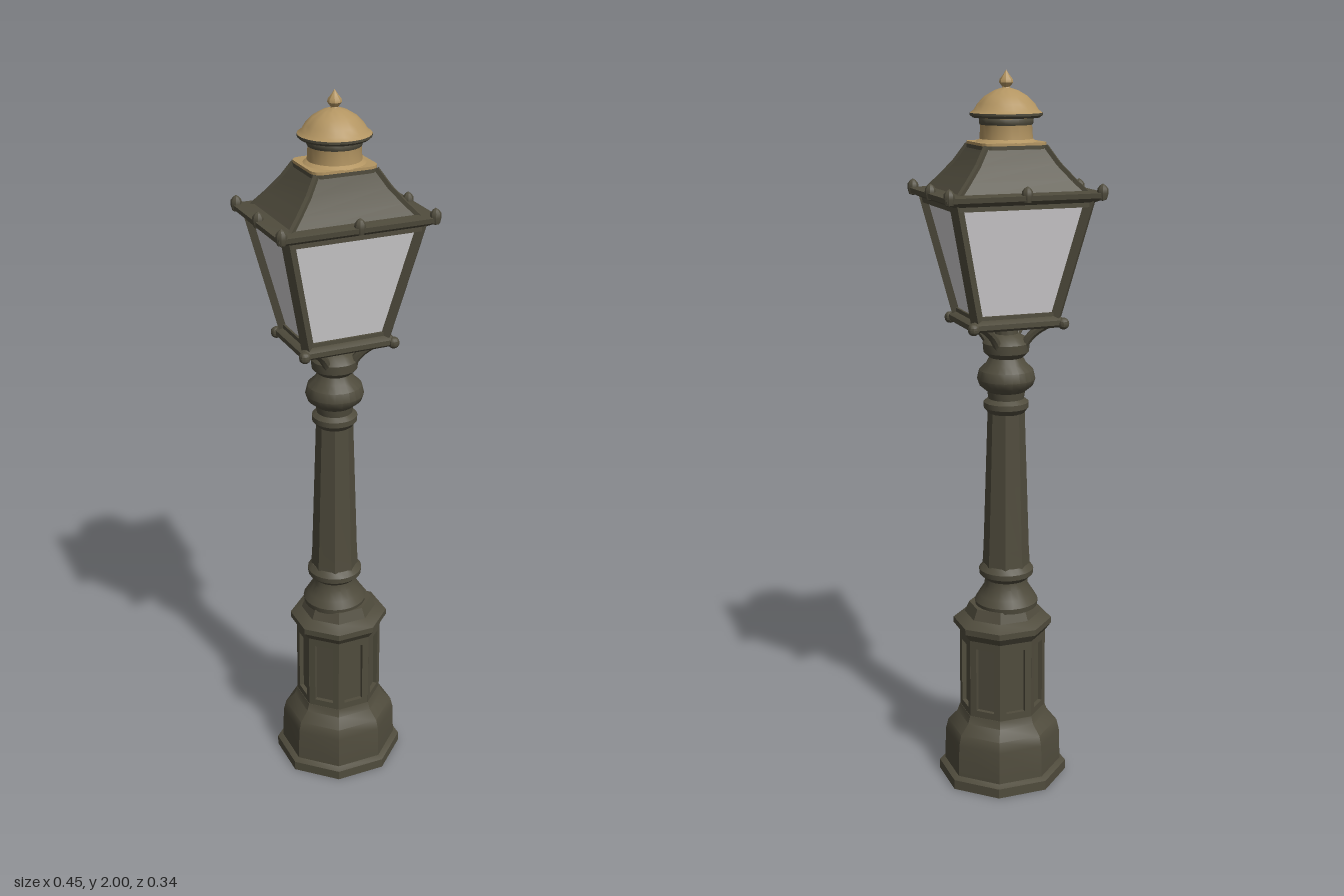
import * as THREE from 'three';
import { toCreasedNormals } from 'three/addons/utils/BufferGeometryUtils.js';

const iron = new THREE.MeshStandardMaterial({ color: 0x504c3d });
iron.name = 'dark iron';
const brass = new THREE.MeshStandardMaterial({ color: 0xb39562 });
brass.name = 'dull brass';
const glass = new THREE.MeshStandardMaterial({ color: 0xd2d0d2 });
glass.name = 'frosted glass';

export function createModel() {
  const model = new THREE.Group();
  model.name = 'streetLamp';

  const add = (name, geo, mat = iron, parent = model) => {
    const m = new THREE.Mesh(toCreasedNormals(geo, 0.6), mat);
    m.name = name;
    parent.add(m);
    return m;
  };

  // Turned part from [radius, y] pairs; eight sides put flats on the axes
  const turned = (name, pts, sides = 24, mat = iron, parent = model) => {
    const k = sides === 8 ? 1 / Math.cos(Math.PI / 8) : 1;
    const geo = new THREE.LatheGeometry(pts.map(([r, y]) => new THREE.Vector2(r * k, y)), sides);
    geo.rotateY(Math.PI / sides);
    return add(name, geo, mat, parent);
  };

  // Capped stack of rectangles [y, halfX, halfZ], bottom to top
  const loft = (name, rows, mat = iron) => {
    const pos = [], idx = [];
    for (const [y, x, z] of rows) pos.push(-x, y, z, x, y, z, x, y, -z, -x, y, -z);
    for (let r = 0; r < rows.length - 1; r++) {
      for (let i = 0; i < 4; i++) {
        const a = r * 4 + i, b = r * 4 + (i + 1) % 4;
        idx.push(a, b, b + 4, a, b + 4, a + 4);
      }
    }
    const t = (rows.length - 1) * 4;
    idx.push(0, 2, 1, 0, 3, 2, t, t + 1, t + 2, t, t + 2, t + 3);
    const geo = new THREE.BufferGeometry();
    geo.setAttribute('position', new THREE.Float32BufferAttribute(pos, 3));
    geo.setIndex(idx);
    return add(name, geo, mat);
  };

  // Square bar between two points
  const bar = (name, a, b, w) => {
    const p = new THREE.Vector3(...a), q = new THREE.Vector3(...b);
    const m = add(name, new THREE.BoxGeometry(w, w, p.distanceTo(q)));
    m.position.copy(p).add(q).multiplyScalar(0.5);
    m.lookAt(q);
    return m;
  };
  const corners = [[1, 1], [1, -1], [-1, -1], [-1, 1]];

  // Octagonal pedestal, slightly off the lamp's axis
  const pedestal = new THREE.Group();
  pedestal.name = 'pedestal';
  pedestal.position.set(0.01, 0, 0.005);
  pedestal.scale.z = 0.95;
  model.add(pedestal);
  turned('plinth', [[0, 0], [0.172, 0], [0.172, 0.028], [0.157, 0.036], [0.154, 0.13],
    [0.147, 0.16], [0.122, 0.188], [0.115, 0.21], [0, 0.21]], 8, iron, pedestal);
  turned('pedestalCore', [[0.102, 0.19], [0.1, 0.46]], 8, iron, pedestal);
  turned('pedestalCap', [[0, 0.44], [0.112, 0.44], [0.13, 0.465], [0.13, 0.482],
    [0.1, 0.5], [0.088, 0.53], [0, 0.53]], 8, iron, pedestal);

  // Raised frames around the eight sunken panels
  const w = 0.047, shape = new THREE.Shape();
  shape.moveTo(-w, 0.2).lineTo(w, 0.2).lineTo(w, 0.45).lineTo(-w, 0.45).closePath();
  const hole = new THREE.Path();
  hole.moveTo(-0.028, 0.23).lineTo(-0.028, 0.42).lineTo(0.028, 0.42).lineTo(0.028, 0.23).closePath();
  shape.holes.push(hole);
  for (let i = 0; i < 8; i++) {
    const geo = new THREE.ExtrudeGeometry(shape, { depth: 0.014, bevelEnabled: false });
    geo.translate(0, 0, 0.1).rotateY(i * Math.PI / 4);
    add('panelFrame', geo, iron, pedestal);
  }

  // Column and its mouldings
  turned('columnFoot', [[0.088, 0.525], [0.09, 0.54], [0.078, 0.56], [0.062, 0.585], [0.06, 0.605],
    [0.076, 0.62], [0.077, 0.635], [0.064, 0.65], [0, 0.655]]);
  turned('columnShaft', [[0.062, 0.645], [0.059, 0.7], [0.047, 1.1]], 8);
  turned('capital', [[0, 1.09], [0.05, 1.09], [0.062, 1.105], [0.062, 1.12], [0.049, 1.13], [0.052, 1.15],
    [0.074, 1.168], [0.08, 1.185], [0.074, 1.21], [0.055, 1.228], [0.046, 1.245],
    [0.062, 1.26], [0.064, 1.285], [0.052, 1.3], [0.032, 1.31], [0.03, 1.345]]);

  // Curved arms carrying the lantern
  for (const [sx, sz] of corners) {
    const curve = new THREE.QuadraticBezierCurve3(
      new THREE.Vector3(sx * 0.034, 1.27, sz * 0.034),
      new THREE.Vector3(sx * 0.05, 1.32, sz * 0.045),
      new THREE.Vector3(sx * 0.1, 1.345, sz * 0.075));
    add('bracketArm', new THREE.TubeGeometry(curve, 8, 0.012, 8));
  }

  // Lantern body
  loft('lanternFloor', [[1.335, 0.125, 0.095], [1.342, 0.134, 0.103],
    [1.355, 0.134, 0.103], [1.365, 0.118, 0.088]]);
  loft('glassPanes', [[1.362, 0.11, 0.079], [1.67, 0.182, 0.13]], glass);
  for (const [sx, sz] of corners) {
    bar('cornerPost', [sx * 0.11, 1.355, sz * 0.079], [sx * 0.184, 1.675, sz * 0.132], 0.024);
    const knob = add('floorKnob', new THREE.SphereGeometry(0.016, 10, 8));
    knob.position.set(sx * 0.127, 1.345, sz * 0.097);
  }
  for (const s of [-1, 1]) {
    bar('topRail', [-0.18, 1.667, s * 0.131], [0.18, 1.667, s * 0.131], 0.022);
    bar('topRail', [s * 0.182, 1.667, -0.13], [s * 0.182, 1.667, 0.13], 0.022);
    bar('bottomRail', [-0.11, 1.367, s * 0.08], [0.11, 1.367, s * 0.08], 0.016);
    bar('bottomRail', [s * 0.111, 1.367, -0.08], [s * 0.111, 1.367, 0.08], 0.016);
  }

  // Cornice with small knobs at corners and mid-sides
  loft('cornice', [[1.668, 0.192, 0.142], [1.68, 0.218, 0.163],
    [1.693, 0.22, 0.165], [1.697, 0.182, 0.135]]);
  for (const [sx, sz] of [...corners, [0, 1], [0, -1], [1, 0], [-1, 0]]) {
    const knob = turned('corniceKnob', [[0, -0.02], [0.01, -0.016], [0.014, 0],
      [0.013, 0.012], [0.007, 0.02], [0, 0.025]], 8);
    knob.position.set(sx * 0.209, 1.692, sz * 0.154);
  }

  // Hipped, slightly concave roof with ribs
  const rows = [[1.69, 0.178, 0.133], [1.725, 0.145, 0.113], [1.765, 0.111, 0.092], [1.81, 0.082, 0.073]];
  loft('roof', rows);
  for (const [sx, sz] of corners) {
    for (let i = 0; i < 3; i++) {
      const [a, b] = [rows[i], rows[i + 1]];
      bar('roofRib', [sx * a[1], a[0], sz * a[2]], [sx * b[1], b[0], sz * b[2]], 0.011);
    }
  }

  // Rounded square collar
  const c = new THREE.Shape();
  c.moveTo(-0.055, -0.08).lineTo(0.055, -0.08).quadraticCurveTo(0.09, -0.08, 0.09, -0.048)
    .lineTo(0.09, 0.048).quadraticCurveTo(0.09, 0.08, 0.055, 0.08)
    .lineTo(-0.055, 0.08).quadraticCurveTo(-0.09, 0.08, -0.09, 0.048)
    .lineTo(-0.09, -0.048).quadraticCurveTo(-0.09, -0.08, -0.055, -0.08);
  const slab = (name, y, h, mat) => add(name,
    new THREE.ExtrudeGeometry(c, { depth: h, bevelEnabled: false }).rotateX(-Math.PI / 2).translate(0, y, 0), mat);
  slab('collarBase', 1.802, 0.01, iron);
  slab('collar', 1.812, 0.007, brass);

  // Chimney, domed cap and finial
  turned('chimney', [[0.082, 1.818], [0.07, 1.826], [0.067, 1.87], [0.072, 1.885]], 24, brass);
  turned('chimneyBand', [[0.069, 1.862], [0.071, 1.866], [0.071, 1.876], [0.069, 1.88]]);
  turned('capRim', [[0, 1.88], [0.088, 1.88], [0.095, 1.886], [0.095, 1.892]]);
  turned('capDome', [[0.095, 1.892], [0.084, 1.9], [0.075, 1.915], [0.056, 1.934],
    [0.032, 1.948], [0.014, 1.954], [0, 1.956]], 24, brass);
  turned('finial', [[0.012, 1.95], [0.009, 1.957], [0.017, 1.968], [0.016, 1.976],
    [0.007, 1.988], [0, 2]], 8, brass);

  return model;
}
